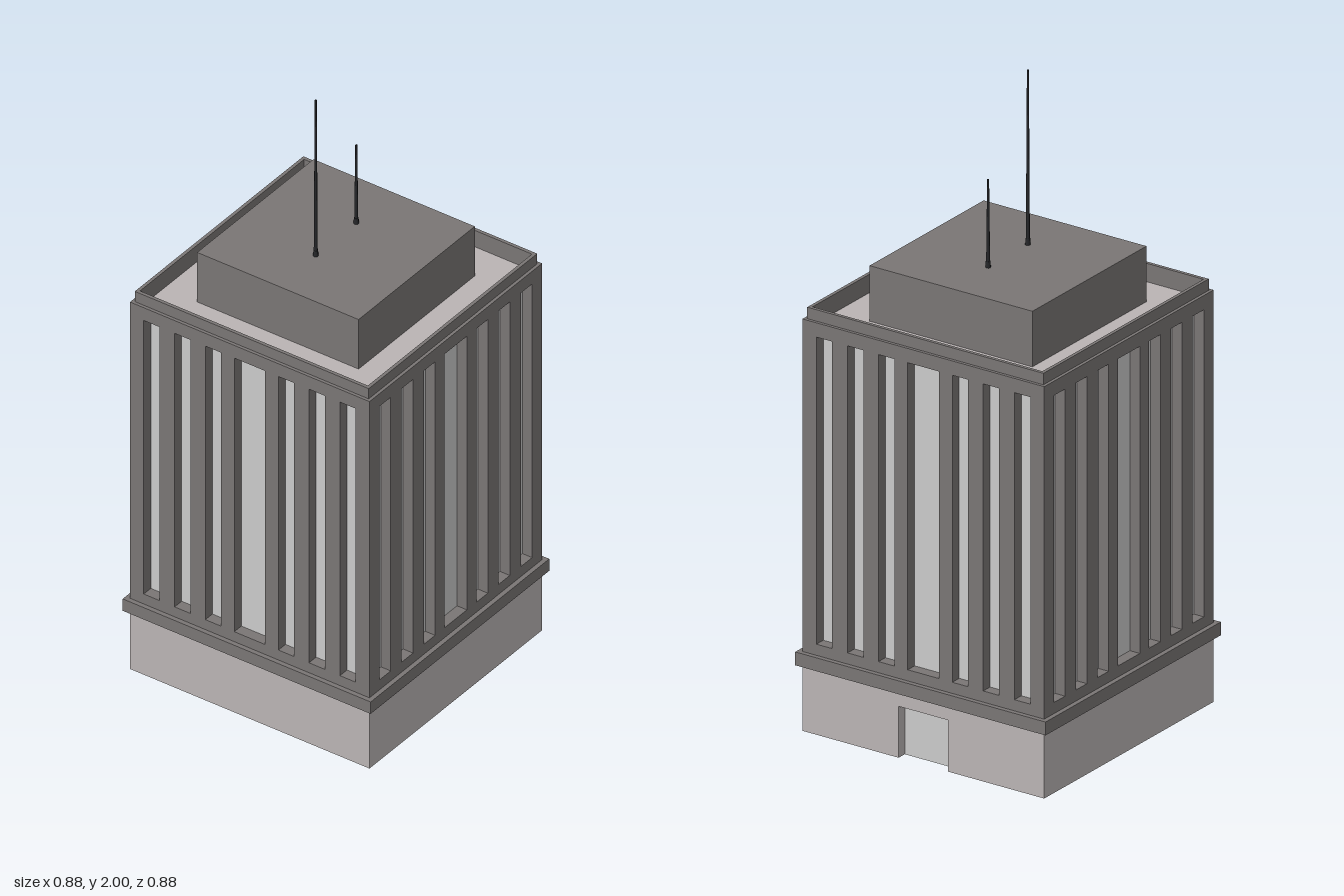
import * as THREE from 'three';

const HALF = 0.426;   // half width of the tower
const DEPTH = 0.035;  // window and door recess

const mat = (color) => new THREE.MeshStandardMaterial({ color });
const stone = mat(0xbab4b4);
const dark = mat(0x7a7675);
const glass = mat(0xcccccc);
const metal = mat(0x26272a);

function add(parent, name, geometry, material) {
  const mesh = new THREE.Mesh(geometry, material);
  mesh.name = name;
  parent.add(mesh);
  return mesh;
}

// Square block standing between two heights
function block(parent, name, half, y0, y1, material) {
  const mesh = add(parent, name, new THREE.BoxGeometry(half * 2, y1 - y0, half * 2), material);
  mesh.position.y = (y0 + y1) / 2;
  return mesh;
}

function rectangle(x0, y0, x1, y1, Kind = THREE.Shape) {
  return new Kind([[x0, y0], [x1, y0], [x1, y1], [x0, y1]].map((p) => new THREE.Vector2(...p)));
}

// Flat outline extruded upwards between two heights
function slab(parent, name, shape, y0, y1, material) {
  const geometry = new THREE.ExtrudeGeometry(shape, { depth: y1 - y0, bevelEnabled: false });
  geometry.rotateX(-Math.PI / 2);
  const mesh = add(parent, name, geometry, material);
  mesh.position.y = y0;
  return mesh;
}

// Square frame, open in the middle
function ring(parent, name, outer, inner, y0, y1, material) {
  const shape = rectangle(-outer, -outer, outer, outer);
  shape.holes.push(rectangle(-inner, -inner, inner, inner, THREE.Path));
  return slab(parent, name, shape, y0, y1, material);
}

// One wall with a wide central window and three narrow ones on each side
function facadeGeometry() {
  const shape = rectangle(-HALF, 0.24, HALF - DEPTH, 1.27);
  const windows = [[0, 0.055]];
  for (const x of [0.13, 0.239, 0.349]) windows.push([x, 0.028], [-x, 0.028]);
  for (const [x, w] of windows) {
    shape.holes.push(rectangle(x - w, 0.285, x + w, 1.252, THREE.Path));
  }
  return new THREE.ExtrudeGeometry(shape, { depth: DEPTH, bevelEnabled: false });
}

export function createModel() {
  const tower = new THREE.Group();
  tower.name = 'officeTower';

  // Base with a door notch in the +x side
  const doorHalf = 0.087, doorTop = 0.162, back = HALF - DEPTH;
  const outline = new THREE.Shape([
    [-HALF, -HALF], [HALF, -HALF], [HALF, -doorHalf], [back, -doorHalf],
    [back, doorHalf], [HALF, doorHalf], [HALF, HALF], [-HALF, HALF],
  ].map((p) => new THREE.Vector2(...p)));
  slab(tower, 'baseLower', outline, 0, doorTop, stone);
  block(tower, 'baseUpper', HALF, doorTop, 0.21, stone);
  const door = add(tower, 'door', new THREE.BoxGeometry(0.004, doorTop, doorHalf * 2), glass);
  door.position.set(back + 0.002, doorTop / 2, 0);

  // Ledge over the base
  block(tower, 'ledge', 0.441, 0.208, 0.25, dark);

  // Glazed core inside four pierced walls
  block(tower, 'windowGlass', HALF - DEPTH, 0.25, 1.26, glass);
  const wall = facadeGeometry();
  for (let i = 0; i < 4; i++) {
    const side = new THREE.Group();
    side.name = 'wall' + (i + 1);
    side.rotation.y = i * Math.PI / 2;
    add(side, 'windowFrame', wall, dark).position.z = HALF - DEPTH;
    tower.add(side);
  }

  // Roof, parapet and plant room
  ring(tower, 'roofRim', HALF, 0.405, 1.27, 1.297, dark);
  ring(tower, 'parapet', 0.416, 0.405, 1.297, 1.333, dark);
  block(tower, 'roof', 0.405, 1.255, 1.275, stone);
  block(tower, 'plantRoom', 0.287, 1.275, 1.45, dark);

  // Tapered antennas
  for (const [x, top] of [[-0.1, 2], [0.1, 1.727]]) {
    const antenna = new THREE.Group();
    antenna.name = x < 0 ? 'tallAntenna' : 'shortAntenna';
    antenna.position.set(x, 1.45, 0);
    const height = top - 1.45;
    const mast = add(antenna, 'mast', new THREE.CylinderGeometry(0.003, 0.006, height, 8), metal);
    mast.position.y = height / 2;
    const foot = add(antenna, 'foot', new THREE.CylinderGeometry(0.007, 0.008, 0.02, 8), metal);
    foot.position.y = 0.01;
    tower.add(antenna);
  }
  return tower;
}
